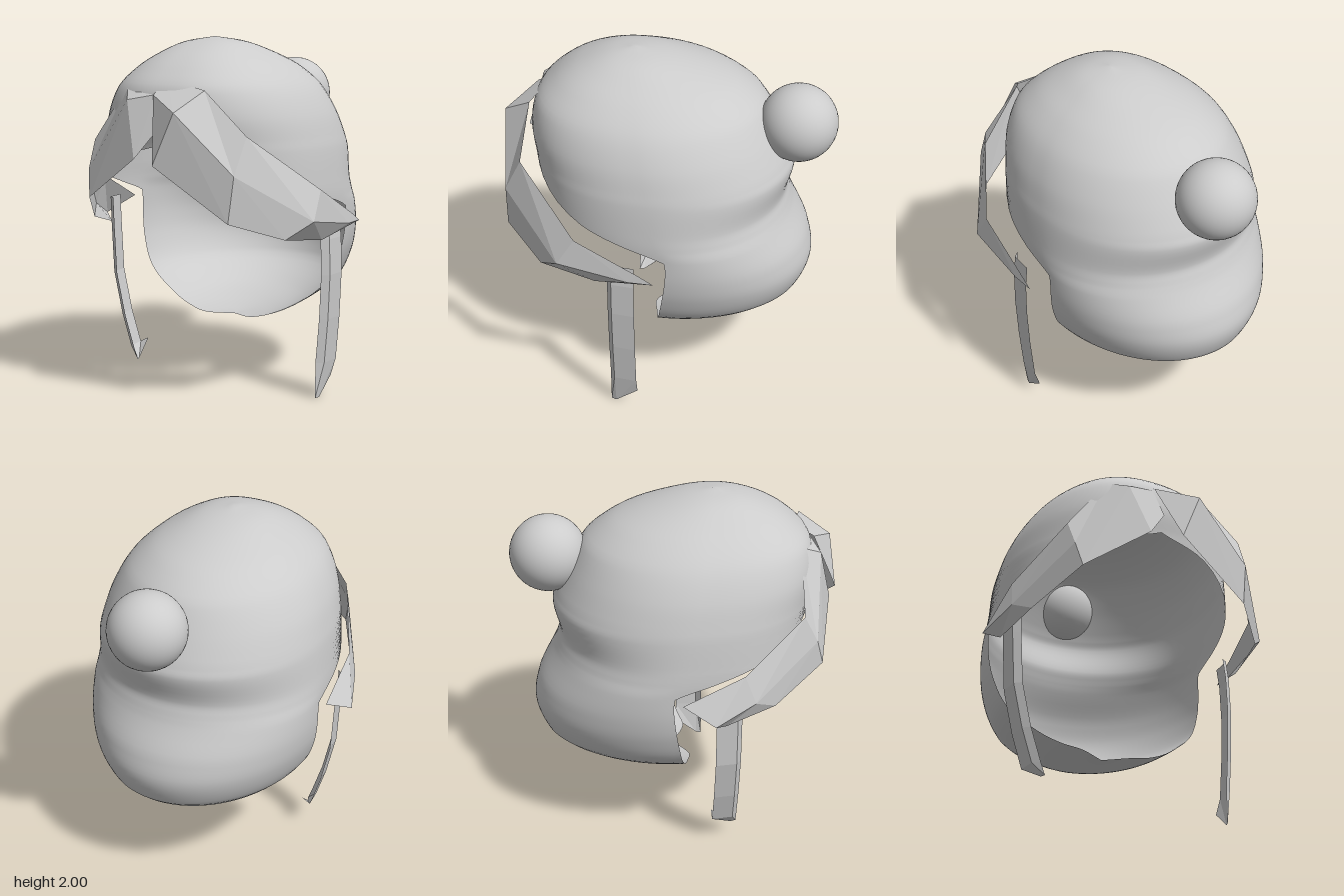
import * as THREE from 'three';
import { mergeVertices } from 'three/addons/utils/BufferGeometryUtils.js';

const hair = new THREE.MeshStandardMaterial({ color: 0xcccccc, side: THREE.DoubleSide });
hair.name = 'hairGrey';

// Grid of points (rows of equal length) turned into a surface
function gridGeometry(rows, faceted) {
  const n = rows[0].length, index = [];
  for (let i = 0; i < rows.length - 1; i++) {
    for (let j = 0; j < n - 1; j++) {
      const a = i * n + j, b = a + n;
      index.push(a, b, a + 1, b, b + 1, a + 1);
    }
  }
  let g = new THREE.BufferGeometry();
  g.setAttribute('position', new THREE.Float32BufferAttribute(rows.flat(2), 3));
  g.setIndex(index);
  g = faceted ? g.toNonIndexed() : mergeVertices(g, 1e-4);
  g.computeVertexNormals();
  return g;
}

// Open cap made of level slices, each an oval arc running round the back of the head
function capGeometry() {
  // height, half width, front z, back z, z of the widest point, arc (0.5 = back half, 1 = closed)
  const slices = [
    [0.36, 0, 0.7, -0.06, -0.02, 0.5], [0.37, 0.15, 0.7, -0.16, 0.06, 0.5],
    [0.4, 0.28, 0.7, -0.32, 0.04, 0.5], [0.46, 0.41, 0.7, -0.54, 0.01, 0.5],
    [0.6, 0.585, 0.7, -0.78, -0.03, 0.5], [0.76, 0.655, 0.7, -0.83, -0.06, 0.5],
    [0.9, 0.68, 0.7, -0.8, -0.08, 0.5], [1.05, 0.685, 0.72, -0.72, -0.08, 0.5],
    [1.12, 0.685, 0.74, -0.69, -0.03, 0.55], [1.2, 0.68, 0.74, -0.67, 0, 0.66],
    [1.36, 0.665, 0.75, -0.705, 0.02, 0.87], [1.44, 0.65, 0.76, -0.68, 0.03, 1],
    [1.58, 0.61, 0.78, -0.61, 0.06, 1], [1.73, 0.53, 0.75, -0.52, 0.1, 1],
    [1.84, 0.415, 0.64, -0.37, 0.13, 1], [1.91, 0.3, 0.53, -0.2, 0.16, 1],
    [1.97, 0.17, 0.38, 0.01, 0.19, 1], [2.0, 0, 0.22, 0.2, 0.21, 1],
  ];
  const outline = new THREE.CatmullRomCurve3(slices.map(s => new THREE.Vector3(s[0], s[1], s[5])));
  const depth = new THREE.CatmullRomCurve3(slices.map(s => new THREE.Vector3(s[2], s[3], s[4])));
  const rows = [], U = 85, V = 64;
  for (let i = 0; i <= U; i++) {
    const { x: y, y: w, z: arc } = outline.getPoint(i / U);
    const { x: front, y: back, z: mid } = depth.getPoint(i / U);
    const reach = THREE.MathUtils.clamp(arc, 0.5, 1) * Math.PI, row = [];
    for (let j = 0; j <= V; j++) {
      const t = (j / V * 2 - 1) * reach, s = Math.sin(t), c = Math.cos(t);
      const e = c < 0 ? 2 / 2.35 : 1;
      row.push([
        w * Math.sign(s) * Math.pow(Math.abs(s), e),
        y,
        mid + (c < 0 ? front - mid : back - mid) * Math.pow(Math.abs(c), e),
      ]);
    }
    rows.push(row);
  }
  return gridGeometry(rows, false);
}

// Hanging lock: an L-shaped section following [x, y] points, tapering at the tip
function lockGeometry(path, side, zFront, zBack) {
  const last = path.length - 1;
  return gridGeometry(path.map(([x, y], i) => [
    [x - side * (i === last ? 0.01 : 0.04), y, zFront],
    [x, y, zFront - 0.03],
    [x + side * 0.01, y + (i === last ? 0.1 : 0), zBack],
  ]), true);
}

export function createModel() {
  const model = new THREE.Group();
  const add = (name, geometry) => {
    const mesh = new THREE.Mesh(geometry, hair);
    mesh.name = name;
    model.add(mesh);
    return mesh;
  };

  add('hairCap', capGeometry());

  // Bun on the back of the crown
  const bun = add('bun', new THREE.SphereGeometry(0.218, 40, 28));
  bun.position.set(0.04, 1.635, -0.718);

  // Swept fringe: sections of upper edge, ridge and lower edge from the parting outwards
  add('leftFringe', gridGeometry([
    [[-0.03, 1.78, 0.66], [-0.05, 1.7, 0.78], [0.04, 1.34, 0.94]],
    [[0.25, 1.73, 0.75], [0.16, 1.62, 0.92], [0.04, 1.34, 0.94]],
    [[0.5, 1.5, 0.75], [0.48, 1.3, 0.85], [0.45, 1.05, 0.86]],
    [[0.76, 1.2, 0.4], [0.77, 1.04, 0.5], [0.66, 0.95, 0.62]],
    [[0.785, 1.03, 0.05], [0.79, 0.98, 0.1], [0.72, 0.91, 0.3]],
    [[0.79, 0.98, -0.04], [0.79, 0.98, -0.04], [0.79, 0.98, -0.04]],
  ].map(s => s.reverse()), true));
  add('rightFringe', gridGeometry([
    [[-0.03, 1.78, 0.66], [-0.05, 1.7, 0.76], [0, 1.53, 0.8]],
    [[-0.29, 1.74, 0.66], [-0.21, 1.67, 0.79], [-0.12, 1.36, 0.87]],
    [[-0.52, 1.43, 0.65], [-0.51, 1.27, 0.73], [-0.48, 1.12, 0.77]],
    [[-0.7, 1.18, 0.3], [-0.72, 1.02, 0.36], [-0.65, 0.96, 0.48]],
    [[-0.71, 1.02, -0.04], [-0.8, 0.93, 0.13], [-0.72, 0.89, 0.2]],
  ].map(s => s.reverse()), true));

  // Long locks in front of the ears
  add('leftLock', lockGeometry(
    [[0.71, 1.02], [0.725, 0.9], [0.73, 0.7], [0.72, 0.45], [0.7, 0.2], [0.67, 0]], 1, 0.24, 0.08));
  add('rightLock', lockGeometry(
    [[-0.68, 1.05], [-0.675, 0.9], [-0.66, 0.6], [-0.605, 0.35], [-0.545, 0.16], [-0.49, 0.09]], -1, 0.3, 0.15));

  return model;
}
